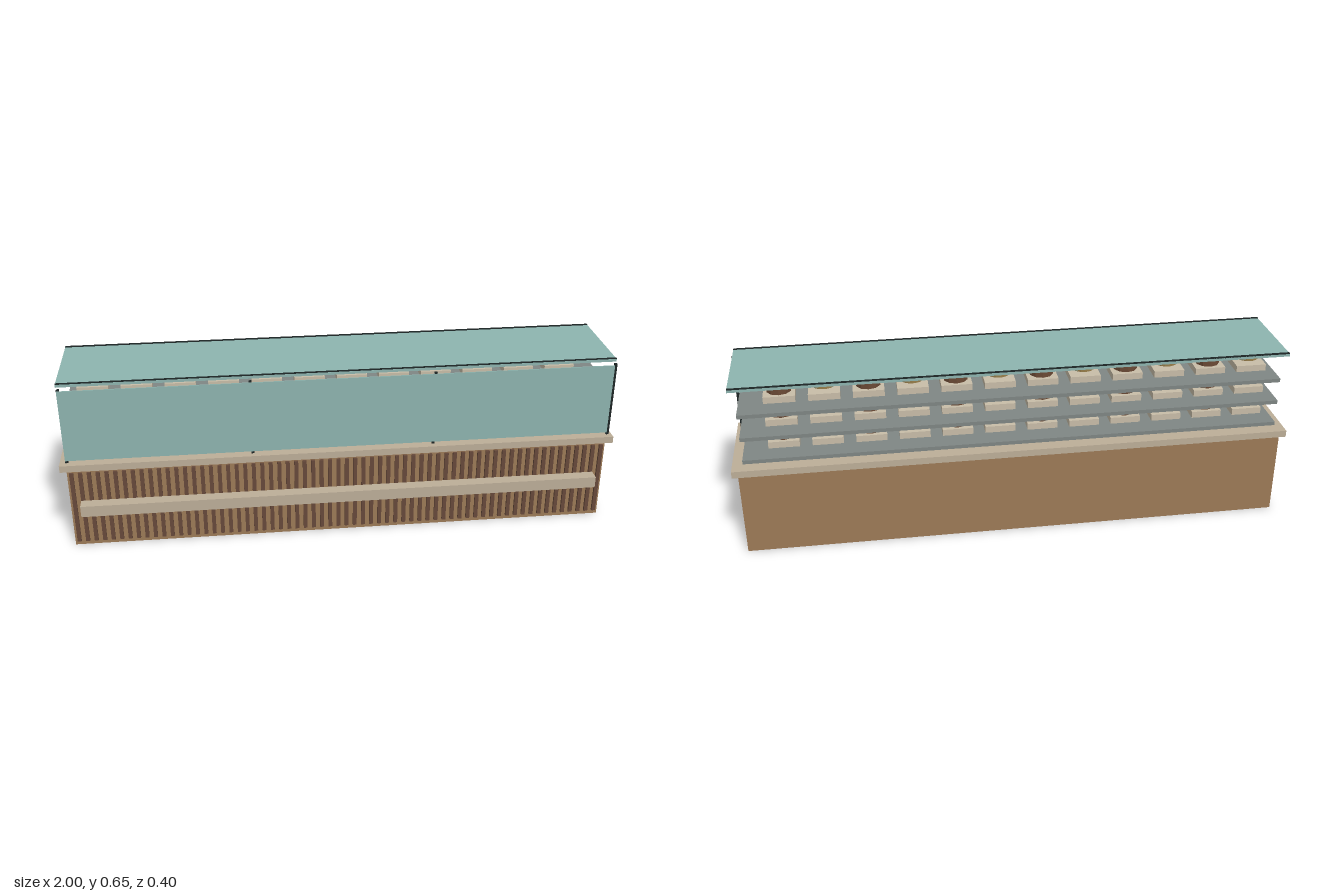
import * as THREE from 'three';

const mat = (color, side = THREE.FrontSide) =>
  new THREE.MeshStandardMaterial({ color, flatShading: true, side });

const M = {
  wood: mat(0x9c7a57), slat: mat(0x66493a), stone: mat(0xbcae98), glass: mat(0x8db4af),
  metal: mat(0x1c2424), shelf: mat(0x7f8684), tray: mat(0xc8bda8),
  cake: mat(0x6b4a35), pastry: mat(0xb99a5c, THREE.DoubleSide), light: mat(0xcccccc),
};

// Box given by its min and max on each axis
function box(name, material, [x0, x1], [y0, y1], [z0, z1]) {
  const mesh = new THREE.Mesh(new THREE.BoxGeometry(x1 - x0, y1 - y0, z1 - z0), material);
  mesh.position.set((x0 + x1) / 2, (y0 + y1) / 2, (z0 + z1) / 2);
  mesh.name = name;
  return mesh;
}

export function createModel() {
  const g = new THREE.Group();
  g.name = 'displayCounter';
  const full = [-0.98, 0.98];

  // Base cabinet, worktop and front rail
  g.add(box('cabinet', M.wood, full, [0, 0.31], [-0.184, 0.143]));
  g.add(box('worktop', M.stone, [-1, 1], [0.315, 0.34], [-0.198, 0.168]));
  g.add(box('frontRail', M.stone, [-0.94, 0.94], [0.148, 0.19], [0.156, 0.199]));

  // Vertical slats on the cabinet front
  const slats = new THREE.Group();
  slats.name = 'slats';
  const count = 64, pitch = 1.96 / count;
  for (let i = 0; i < count; i++) {
    const x = -0.98 + (i + 0.5) * pitch;
    slats.add(box('slat', M.slat, [x - 0.007, x + 0.007], [0.017, 0.299], [0.143, 0.152]));
  }
  g.add(slats);

  // Front glass with its posts
  g.add(box('frontGlass', M.glass, full, [0.349, 0.617], [0.144, 0.148]));
  for (let i = 0; i < 4; i++) {
    const x = -0.975 + i * 0.653;
    g.add(box('post', M.metal, [x - 0.005, x + 0.005], [0.34, 0.622], [0.137, 0.146]));
  }

  // Top glass with edge trims
  g.add(box('topGlass', M.glass, full, [0.636, 0.646], [-0.184, 0.155]));
  g.add(box('frontTrim', M.metal, full, [0.645, 0.648], [0.145, 0.154]));
  g.add(box('backTrim', M.metal, full, [0.645, 0.648], [-0.184, -0.174]));

  // Three shelves, each with a light strip and a row of filled trays
  const cakeGeo = new THREE.CylinderGeometry(0.044, 0.044, 0.045, 10);
  const pastryGeo = new THREE.TorusGeometry(0.026, 0.024, 8, 10, Math.PI).rotateX(-Math.PI / 2);
  for (let s = 0; s < 3; s++) {
    const row = new THREE.Group();
    row.name = 'shelfRow';
    row.position.y = 0.355 + s * 0.088;
    row.add(box('shelf', M.shelf, [-0.96, 0.96], [0, 0.014], [-0.175, 0.116]));
    row.add(box('lightStrip', M.light, [-0.95, 0.95], [0.014, 0.017], [0.125, 0.134]));
    for (let i = 0; i < 12; i++) {
      const x = -0.875 + i * 0.154;
      row.add(box('tray', M.tray, [x - 0.055, x + 0.055], [0.015, 0.039], [-0.102, 0.018]));
      const isCake = i % 2 === 1;
      const food = new THREE.Mesh(isCake ? cakeGeo : pastryGeo, isCake ? M.cake : M.pastry);
      food.name = isCake ? 'cake' : 'pastry';
      food.position.set(x, isCake ? 0.0645 : 0.065, isCake ? -0.053 : -0.042);
      if (!isCake && s < 2) food.scale.y = 0.9;
      row.add(food);
    }
    g.add(row);
  }
  return g;
}
